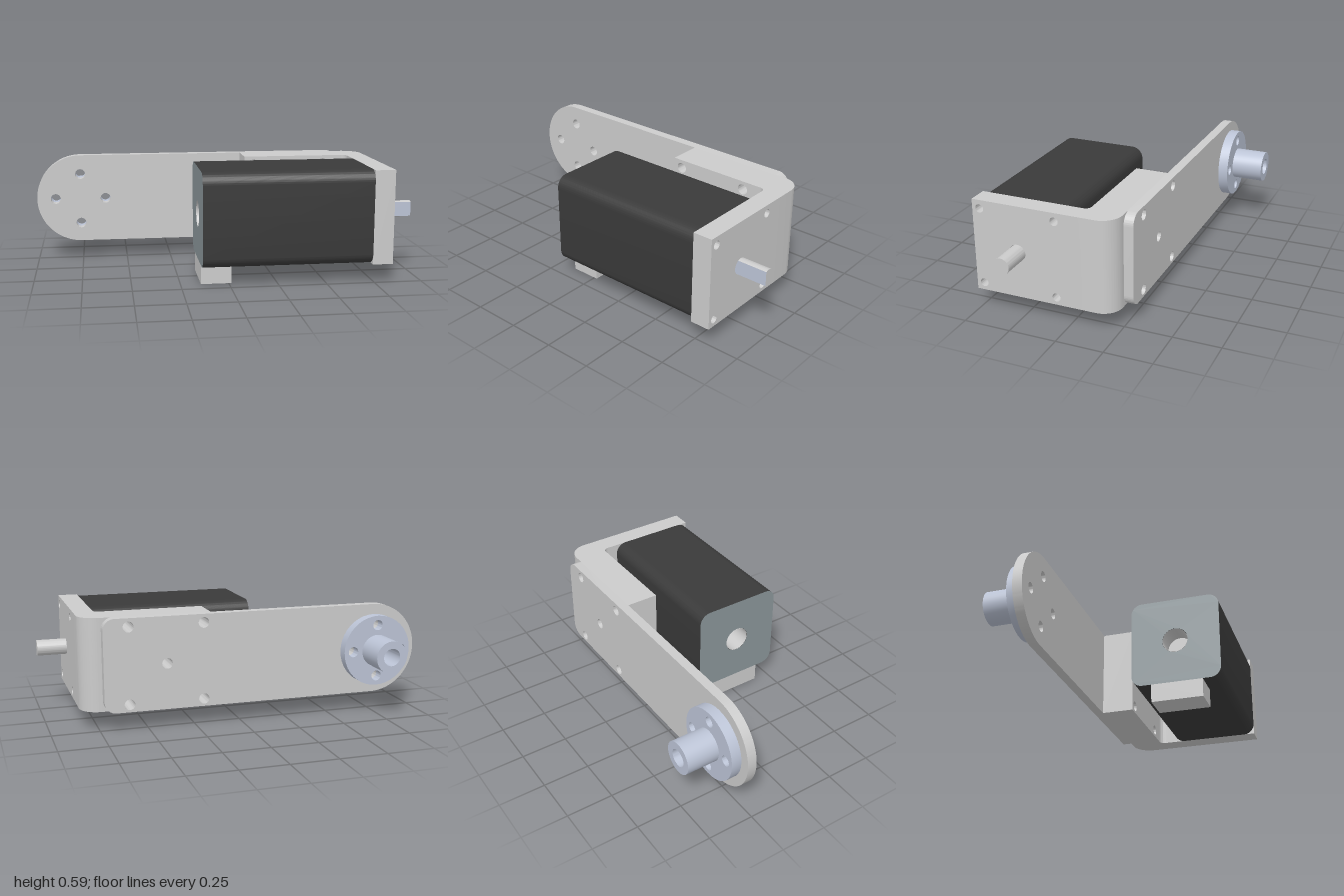
import * as THREE from 'three';
import { toCreasedNormals } from 'three/addons/utils/BufferGeometryUtils.js';

const BOTTOM = 0.1, TOP = 0.59, MID = 0.343;   // shared heights
const HUB_X = -0.757, SHAFT_Z = 0.275;

const mat = (color) => new THREE.MeshStandardMaterial({ color });
const grey = mat(0xcccccc), blue = mat(0xbcc4d6), dark = mat(0x3a3a3a), endGrey = mat(0x8a9599);

// Rectangle with its own radius at each corner: bottom left, bottom right, top right, top left
function rect(x0, y0, x1, y1, [bl, br, tr, tl] = [0, 0, 0, 0]) {
  const s = new THREE.Shape();
  s.moveTo(x0 + bl, y0);
  s.lineTo(x1 - br, y0);
  if (br) s.absarc(x1 - br, y0 + br, br, -Math.PI / 2, 0);
  s.lineTo(x1, y1 - tr);
  if (tr) s.absarc(x1 - tr, y1 - tr, tr, 0, Math.PI / 2);
  s.lineTo(x0 + tl, y1);
  if (tl) s.absarc(x0 + tl, y1 - tl, tl, Math.PI / 2, Math.PI);
  s.lineTo(x0, y0 + bl);
  if (bl) s.absarc(x0 + bl, y0 + bl, bl, Math.PI, Math.PI * 1.5);
  return s;
}

function disc(x, y, r) {
  const s = new THREE.Shape();
  s.absarc(x, y, r, 0, Math.PI * 2);
  return s;
}

function drill(shape, r, points) {
  for (const [x, y] of points) {
    const hole = new THREE.Path();
    hole.absarc(x, y, r, 0, Math.PI * 2, true);
    shape.holes.push(hole);
  }
  return shape;
}

// Extrude a shape from a to b along an axis.
// Shape coordinates: z -> (x, y), x -> (-z, y), y -> (x, -z)
function extrude(name, shape, axis, a, b, material) {
  let g = new THREE.ExtrudeGeometry(shape, { depth: b - a, bevelEnabled: false, curveSegments: 20 });
  g.translate(0, 0, a);
  if (axis === 'x') g.rotateY(Math.PI / 2);
  if (axis === 'y') g.rotateX(-Math.PI / 2);
  g = toCreasedNormals(g, 0.5);
  const mesh = new THREE.Mesh(g, material);
  mesh.name = name;
  return mesh;
}

export function createModel() {
  const model = new THREE.Group();
  model.name = 'motorArmAssembly';

  // Hole patterns
  const flangeHoles = [0, 1, 2, 3].map((i) => [
    HUB_X + 0.14 * Math.cos(i * Math.PI / 2), MID + 0.14 * Math.sin(i * Math.PI / 2)]);
  const armHoles = [[0.4, MID]];
  const motorHoles = [];
  for (const y of [0.14, 0.545]) {
    for (const x of [0.205, 0.6]) armHoles.push([x, y]);
    for (const z of [0.07, 0.475]) motorHoles.push([-z, y]);
  }

  // Arm plate with one semicircular end
  const arm = rect(-1, BOTTOM, 0.73, TOP, [0.2449, 0.06, 0.06, 0.2449]);
  drill(arm, 0.028, [...flangeHoles, ...armHoles]);
  model.add(extrude('armPlate', arm, 'z', -0.29, -0.24, grey));

  // L bracket: thick leg, rounded corner and motor face plate
  const bracket = new THREE.Group();
  bracket.name = 'bracket';
  const leg = drill(rect(0.155, BOTTOM, 0.705, TOP), 0.028, armHoles);
  bracket.add(extrude('bracketLeg', leg, 'z', -0.24, -0.065, grey));

  const corner = new THREE.Shape();
  corner.moveTo(0.705, 0.24);
  corner.lineTo(0.705, 0.065);
  corner.absarc(0.705, 0.035, 0.03, Math.PI / 2, 0, true);
  corner.lineTo(0.84, 0.035);
  corner.lineTo(0.84, 0.14);
  corner.absarc(0.74, 0.14, 0.1, 0, Math.PI / 2);
  bracket.add(extrude('bracketCorner', corner, 'y', BOTTOM, TOP, grey));

  const face = rect(-0.515, BOTTOM, 0.035, TOP);
  drill(face, 0.022, motorHoles);
  drill(face, 0.0435, [[-SHAFT_Z, MID]]);
  bracket.add(extrude('bracketFace', face, 'x', 0.735, 0.84, grey));
  model.add(bracket);

  // Motor body with a round socket in its rear end
  const motor = new THREE.Group();
  motor.name = 'motor';
  const c = 0.06;
  const body = rect(-0.515, BOTTOM, -0.025, TOP, [c, c, c, c]);
  drill(body, 0.07, [[-0.27, MID]]);
  motor.add(extrude('motorBody', body, 'x', -0.145, 0.735, [endGrey, dark]));

  const lining = new THREE.Mesh(
    new THREE.CylinderGeometry(0.069, 0.069, 0.12, 40, 1, true),
    new THREE.MeshStandardMaterial({ color: 0xcccccc, side: THREE.DoubleSide }));
  lining.name = 'socketLining';
  lining.rotation.z = Math.PI / 2;
  lining.position.set(-0.085, MID, 0.27);
  motor.add(lining);
  motor.add(extrude('socketFloor', disc(-0.27, MID, 0.0705), 'x', -0.025, 0, grey));

  motor.add(extrude('connector', rect(-0.415, 0, -0.135, BOTTOM), 'x', -0.145, 0.015, grey));

  // Output shaft: round root, then a D-shaped end with its flat towards the front
  motor.add(extrude('shaftRoot', disc(-SHAFT_Z, MID, 0.043), 'x', 0.72, 0.8, blue));
  const flat = Math.acos(-0.02 / 0.043);
  const dShape = new THREE.Shape();
  dShape.absarc(-SHAFT_Z, MID, 0.043, -flat, flat);
  motor.add(extrude('shaftEnd', dShape, 'x', 0.8, 1, grey));
  const flatFace = new THREE.Mesh(new THREE.PlaneGeometry(0.2, 0.086 * Math.sin(flat)), blue);
  flatFace.name = 'shaftFlat';
  flatFace.position.set(0.9, MID, SHAFT_Z + 0.0205);
  motor.add(flatFace);
  model.add(motor);

  // Flanged hub on the back of the arm
  const hub = new THREE.Group();
  hub.name = 'hub';
  const flange = drill(disc(HUB_X, MID, 0.192), 0.028, flangeHoles);
  drill(flange, 0.047, [[HUB_X, MID]]);
  hub.add(extrude('hubFlange', flange, 'z', -0.345, -0.29, blue));
  const boss = drill(disc(HUB_X, MID, 0.087), 0.047, [[HUB_X, MID]]);
  hub.add(extrude('hubBoss', boss, 'z', -0.52, -0.345, blue));
  model.add(hub);

  return model;
}
